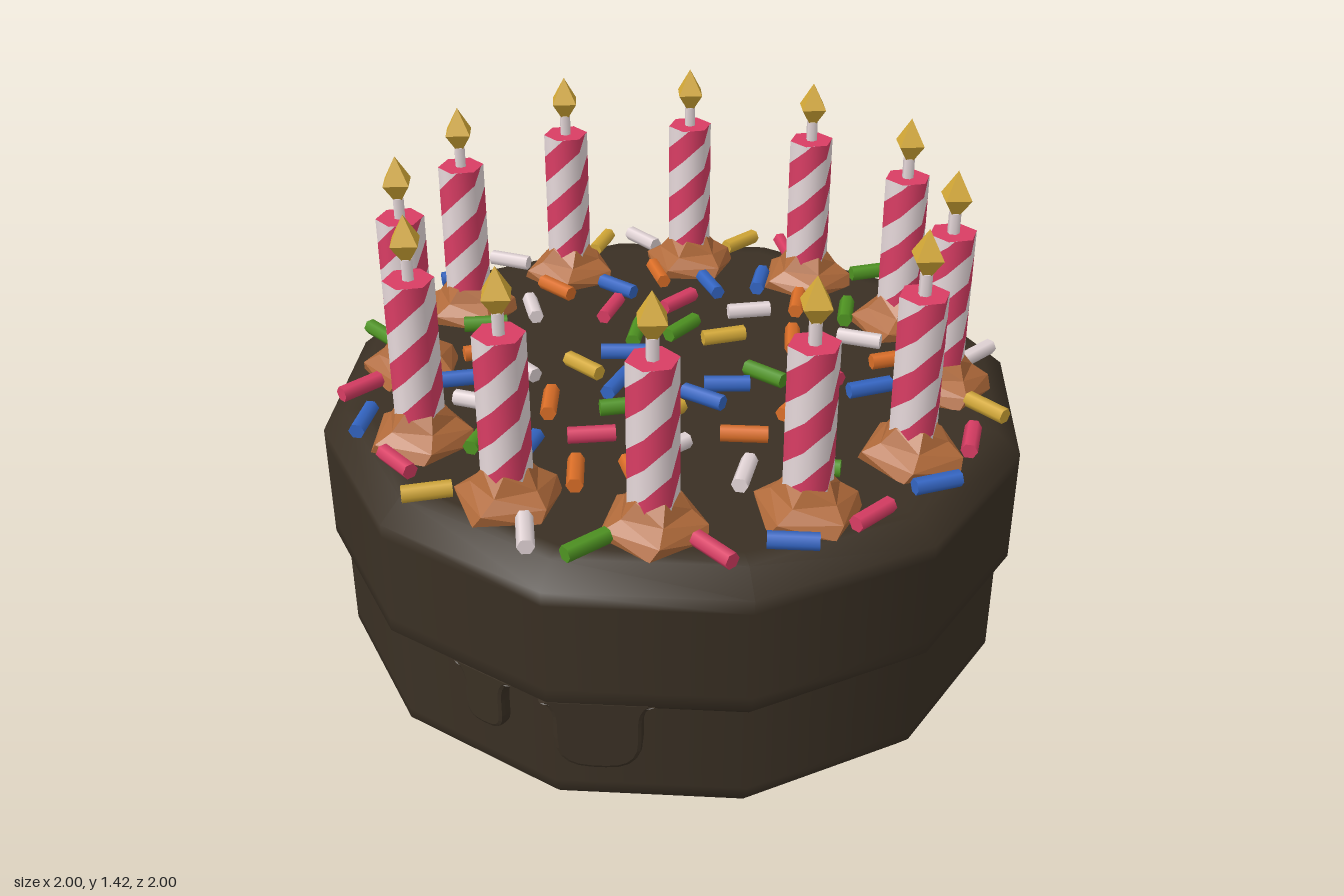
import * as THREE from 'three';

const mat = (name, color) => {
  const m = new THREE.MeshStandardMaterial({ color });
  m.name = name;
  return m;
};

function mesh(name, geo, material, parent) {
  const m = new THREE.Mesh(geo, material);
  m.name = name;
  parent.add(m);
  return m;
}

const lathe = (pts, sides) => new THREE.LatheGeometry(pts.map(p => new THREE.Vector2(...p)), sides);

function faceted(geo) {
  const g = geo.toNonIndexed();
  g.computeVertexNormals();
  return g;
}

// Icing run: fillets into the rim above, rounded at the tip
function dripGeometry(w, bottom) {
  const h = w / 2, f = 0.035, top = 0.355, r = w * 0.42;
  const s = new THREE.Shape();
  s.moveTo(-h - f, top);
  s.quadraticCurveTo(-h, top - 0.01, -h, top - f - 0.03);
  s.lineTo(-h, bottom + r);
  s.quadraticCurveTo(-h, bottom, -h + r, bottom);
  s.lineTo(h - r, bottom);
  s.quadraticCurveTo(h, bottom, h, bottom + r);
  s.lineTo(h, top - f - 0.03);
  s.quadraticCurveTo(h, top - 0.01, h + f, top);
  return new THREE.ExtrudeGeometry(s, {
    depth: 0.03, curveSegments: 5, bevelThickness: 0.014, bevelSize: 0.012, bevelOffset: -0.012, bevelSegments: 2,
  });
}

// One colour of the spiral bands wrapped round a six-sided candle
function spiralGeometry(radius, y0, y1, phase) {
  const period = 0.17, rise = period * 2, cols = 24, pos = [], nor = [];
  const corner = k => new THREE.Vector3(Math.sin(k * Math.PI / 3 + Math.PI / 6), 0, Math.cos(k * Math.PI / 3 + Math.PI / 6)).multiplyScalar(radius);
  const point = (j, y) => {
    const t = j * 6 / cols, k = Math.floor(t);
    const p = corner(k).lerp(corner(k + 1), t - k);
    p.y = Math.min(y1, Math.max(y0, y));
    return p;
  };
  for (let band = -3; band < 5; band++) {
    for (let j = 0; j < cols; j++) {
      const lo = y0 + (band + phase) * period, up = jj => lo + rise * jj / cols;
      const a = point(j, up(j)), b = point(j + 1, up(j + 1));
      const c = point(j + 1, up(j + 1) + period / 2), d = point(j, up(j) + period / 2);
      if (c.y - b.y + d.y - a.y < 1e-5) continue;
      for (const p of [a, b, c, a, c, d]) {
        pos.push(p.x, p.y, p.z);
        const n = new THREE.Vector3(p.x, 0, p.z).normalize();
        nor.push(n.x, n.y, n.z);
      }
    }
  }
  const g = new THREE.BufferGeometry();
  g.setAttribute('position', new THREE.Float32BufferAttribute(pos, 3));
  g.setAttribute('normal', new THREE.Float32BufferAttribute(nor, 3));
  return g;
}

// Five-sided swirl of frosting, twisted as it rises
function swirlGeometry() {
  const g = lathe([[0.145, 0.755], [0.14, 0.79], [0.095, 0.82], [0.062, 0.865], [0, 0.87]], 5);
  const p = g.attributes.position;
  for (let i = 0; i < p.count; i++) {
    const a = (p.getY(i) - 0.755) * 5, x = p.getX(i), z = p.getZ(i);
    p.setX(i, x * Math.cos(a) + z * Math.sin(a));
    p.setZ(i, z * Math.cos(a) - x * Math.sin(a));
  }
  return faceted(g);
}

// Sprinkles per colour: x and z in hundredths, then heading in degrees
const SPRINKLES = {
  green: [-7, -90, 65, 7, -64, -50, 63, 6, 38, -59, 24, 55, -18, -19, -80, -25, -7, -50, 19, -18, 10,
    6, 24, 60, -7, 63, -60, 51, 73, 88, -74, 51, 2],
  pink: [-38, -82, -30, 11, -88, 0, -32, -30, -85, 29, -32, -3, 81, -35, -55, -42, -11, -60, 88, 11, -88,
    -81, 35, -55, 12, 40, 55, 73, 51, 0, -51, 73, -87, -11, 87, 0],
  blue: [35, -84, -50, -26, -59, -52, -34, -45, -20, 44, -35, 68, -52, -22, 10, 89, -12, 68, 16, -6, 50,
    -18, 4, 48, 17, 4, 15, -90, 11, 65, -5, 17, -65, 83, 34, 45, -37, 50, 60, 6, 57, -60, -35, 82, -50],
  white: [51, -73, -88, 22, -54, 30, -74, -51, 0, -13, -42, 58, -90, -8, 28, -58, 7, -28, 53, 22, -55,
    -30, 32, 0, 31, 29, 88, -23, 53, 30, 37, 81, -35],
  yellow: [-51, -74, -88, 73, -51, 0, -81, -39, -60, -6, -25, 65, -19, 18, 5, 17, 18, -85, 6, 89, 62],
  orange: [-7, -57, -50, 37, -52, 65, -51, -38, -25, 9, -39, -45, 37, -12, -75, -64, -7, 5, 39, 9, 45,
    -45, 34, 68, -9, 38, -42, 34, 44, -25, 24, 55, -40],
};

export function createModel() {
  const root = new THREE.Group();
  root.name = 'birthdayCake';
  const m = {
    chocolate: mat('dark chocolate', 0x3a3024),
    frosting: mat('caramel frosting', 0xb06a3a),
    pink: mat('pink', 0xd93d64),
    white: mat('pale white', 0xe6d8da),
    yellow: mat('golden yellow', 0xd4a937),
    green: mat('green', 0x4f9422),
    blue: mat('blue', 0x3466c4),
    orange: mat('orange', 0xdc6f28),
  };
  const rad = THREE.MathUtils.degToRad;

  // Twelve-sided sponge and the icing coat over it
  mesh('sponge', lathe([[0, 0], [0.9, 0], [0.935, 0.004], [0.967, 0.04], [0.967, 0.07], [0.967, 0.34]], 12), m.chocolate, root);
  mesh('icing', lathe([[0.94, 0.33], [0.972, 0.332], [1, 0.36], [1, 0.4], [1, 0.66], [1, 0.7],
    [0.935, 0.757], [0.88, 0.76], [0, 0.76]], 12), m.chocolate, root);

  // Drips: side heading, offset along the side, width, tip height
  const drips = [[45, -0.13, 0.23, 0.145], [15, 0.05, 0.125, 0.185], [-45, -0.06, 0.23, 0.145],
    [135, 0, 0.125, 0.185], [195, -0.12, 0.23, 0.145], [225, 0.05, 0.125, 0.185], [255, 0.02, 0.125, 0.185]];
  for (const [heading, offset, w, tip] of drips) {
    const side = new THREE.Group();
    side.name = 'dripSide';
    side.rotation.y = rad(heading);
    root.add(side);
    mesh('drip', dripGeometry(w, tip), m.chocolate, side).position.set(offset, 0, 0.924);
  }

  // Candles, each standing in a frosting swirl
  const swirl = swirlGeometry();
  const redBands = spiralGeometry(0.067, 0.8, 1.24, 0);
  const whiteBands = spiralGeometry(0.067, 0.8, 1.24, 0.5);
  const cap = new THREE.CircleGeometry(0.067, 6).rotateX(-Math.PI / 2);
  const wick = new THREE.CylinderGeometry(0.017, 0.017, 0.07, 6);
  const flame = faceted(lathe([[0, 1.275], [0.05, 1.345], [0, 1.42]], 4));
  for (let i = 0; i < 12; i++) {
    const a = rad(15 + 30 * i);
    const candle = new THREE.Group();
    candle.name = 'candle';
    candle.position.set(Math.sin(a) * 0.76, 0, Math.cos(a) * 0.76);
    root.add(candle);
    mesh('frostingSwirl', swirl, m.frosting, candle).rotation.y = a;
    mesh('candleRedStripes', redBands, m.pink, candle);
    mesh('candleWhiteStripes', whiteBands, m.white, candle);
    mesh('candleTop', cap, m.pink, candle).position.y = 1.24;
    mesh('wick', wick, m.white, candle).position.y = 1.265;
    mesh('flame', flame, m.yellow, candle).rotation.y = 0.12;
  }

  // Sprinkles lying on the icing
  const stick = new THREE.CylinderGeometry(0.023, 0.023, 0.13, 6).rotateZ(Math.PI / 2);
  for (const [colour, list] of Object.entries(SPRINKLES)) {
    for (let i = 0; i < list.length; i += 3) {
      const s = mesh(colour + 'Sprinkle', stick, m[colour], root);
      s.position.set(list[i] / 100, 0.785, list[i + 1] / 100);
      s.rotation.y = rad(list[i + 2]);
    }
  }
  return root;
}
